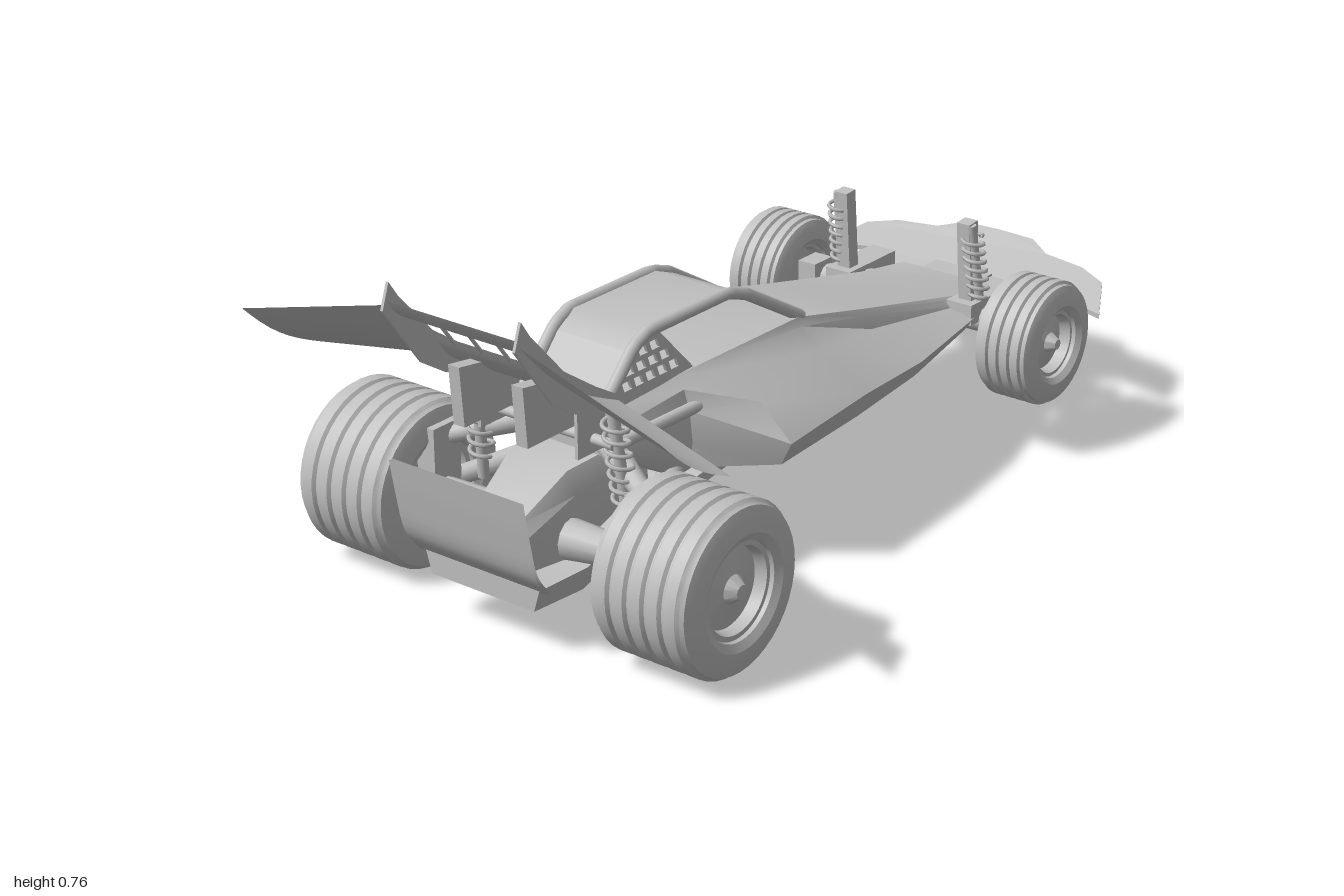
import * as THREE from 'three';
import { toCreasedNormals } from 'three/addons/utils/BufferGeometryUtils.js';

const bodyGrey = new THREE.MeshStandardMaterial({ color: 0xc0c0c0, side: THREE.DoubleSide });
const V = (p) => new THREE.Vector3(...p);

export function createModel() {
  const root = new THREE.Group();

  const add = (name, geo, parent = root) => {
    const m = new THREE.Mesh(geo, bodyGrey);
    m.name = name;
    parent.add(m);
    return m;
  };
  const box = (name, w, h, d, x, y, z) => {
    const m = add(name, new THREE.BoxGeometry(w, h, d));
    m.position.set(x, y, z);
    return m;
  };
  // straight round bar between two points
  const bar = (name, a, b, r, r2 = r) => {
    const d = V(b).sub(V(a));
    const m = add(name, new THREE.CylinderGeometry(r2, r, d.length(), 12));
    m.position.copy(V(a).addScaledVector(d, 0.5));
    m.quaternion.setFromUnitVectors(new THREE.Vector3(0, 1, 0), d.normalize());
    return m;
  };
  // bent bar through several points
  const bentBar = (name, pts, r) => {
    const path = new THREE.CurvePath();
    for (let i = 1; i < pts.length; i++) path.add(new THREE.LineCurve3(V(pts[i - 1]), V(pts[i])));
    return add(name, new THREE.TubeGeometry(path, 40, r, 8));
  };
  // plate standing in the z-y plane, centred on x
  const sidePlate = (name, pts, x, t, holes = []) => {
    const shape = new THREE.Shape(pts.map(p => new THREE.Vector2(...p)));
    holes.forEach(h => shape.holes.push(new THREE.Path(h.map(p => new THREE.Vector2(...p)))));
    const g = new THREE.ExtrudeGeometry(shape, { depth: t, bevelEnabled: false });
    g.translate(0, 0, -t / 2).rotateY(-Math.PI / 2).translate(x, 0, 0);
    return add(name, g);
  };
  // skin over mirrored half sections, each [z, [x, y], ...] from top to bottom
  const loft = (name, sections, crease = 0.5) => {
    const pos = [], idx = [];
    const n = (sections[0].length - 1) * 2;
    for (const [z, ...half] of sections) {
      half.forEach(([x, y]) => pos.push(x, y, z));
      [...half].reverse().forEach(([x, y]) => pos.push(-x, y, z));
    }
    for (let i = 0; i < sections.length - 1; i++) for (let j = 0; j < n; j++) {
      const a = i * n + j, b = i * n + (j + 1) % n;
      idx.push(a, a + n, b, b, a + n, b + n);
    }
    const last = (sections.length - 1) * n;
    for (let j = 1; j < n - 1; j++) idx.push(0, j, j + 1, last, last + j + 1, last + j);
    const g = new THREE.BufferGeometry();
    g.setAttribute('position', new THREE.Float32BufferAttribute(pos, 3));
    g.setIndex(idx);
    return add(name, toCreasedNormals(g, crease));
  };
  // curved sheet: fn(u, v) gives a point
  const sheet = (name, fn, nu = 8, nv = 8) => {
    const g = new THREE.PlaneGeometry(1, 1, nu, nv);
    const p = g.attributes.position;
    for (let i = 0; i < p.count; i++) p.setXYZ(i, ...fn(p.getX(i) + 0.5, p.getY(i) + 0.5));
    g.computeVertexNormals();
    return add(name, g);
  };

  // main hull with flared side pods
  loft('hull', [
    [-0.77, [0.125, 0.285], [0.135, 0.28], [0.137, 0.27], [0.138, 0.265], [0.135, 0.25], [0.12, 0.245]],
    [-0.60, [0.13, 0.31], [0.14, 0.3], [0.15, 0.29], [0.205, 0.28], [0.195, 0.262], [0.12, 0.243]],
    [-0.25, [0.13, 0.39], [0.138, 0.375], [0.15, 0.345], [0.288, 0.3], [0.27, 0.262], [0.13, 0.24]],
    [0, [0.13, 0.45], [0.14, 0.43], [0.195, 0.39], [0.315, 0.315], [0.29, 0.255], [0.14, 0.24]],
    [0.3, [0.125, 0.45], [0.15, 0.43], [0.255, 0.385], [0.337, 0.31], [0.31, 0.255], [0.15, 0.24]],
    [0.42, [0.115, 0.445], [0.145, 0.425], [0.16, 0.38], [0.167, 0.31], [0.16, 0.25], [0.15, 0.22]],
    [0.63, [0.1, 0.437], [0.14, 0.41], [0.16, 0.385], [0.165, 0.36], [0.16, 0.345], [0.15, 0.335]]
  ]);

  // undertray dropping to the rear, gearbox and curved rear bumper
  loft('undertray', [
    [0.33, [0.2, 0.265], [0.2, 0.24]],
    [0.55, [0.18, 0.22], [0.17, 0.18]],
    [0.75, [0.155, 0.145], [0.14, 0.09]],
    [0.9, [0.155, 0.15], [0.14, 0.1]]
  ]);
  loft('gearbox', [
    [0.5, [0.09, 0.34], [0.11, 0.3], [0.11, 0.17]],
    [0.72, [0.08, 0.33], [0.1, 0.28], [0.1, 0.13]],
    [0.86, [0.06, 0.25], [0.08, 0.22], [0.08, 0.13]]
  ]);
  const bumper = new THREE.CatmullRomCurve3(
    [[0, 0.375, 0.972], [0, 0.29, 0.957], [0, 0.2, 0.935], [0, 0.145, 0.895]].map(V));
  for (const off of [0, 0.008]) sheet('rearBumper', (u, v) => {
    const p = bumper.getPoint(v);
    return [(u - 0.5) * 0.356, p.y, p.z - off];
  }, 1, 12);

  // cockpit roof
  const roofLine = [[0.545, 0.54], [0.49, 0.573], [0.22, 0.573], [0.155, 0.548]];
  sheet('roof', (u, v) => {
    const [z, y] = roofLine[Math.round(v * 3)];
    return [(u - 0.5) * 0.21, y, z];
  }, 1, 3);
  sheet('rearWindow', (u, v) => [(u - 0.5) * (0.21 - v * 0.01), 0.54 - 0.1 * v, 0.545 + 0.085 * v], 1, 1);

  // front bumper wing, shaped from above and raked up towards the tip
  const nose = [[0, -1], [0.1, -1], [0.16, -0.965], [0.27, -0.955], [0.345, -0.925], [0.4, -0.825],
    [0.33, -0.835], [0.26, -0.845], [0.19, -0.81], [0.145, -0.765], [0, -0.765]];
  const noseShape = new THREE.Shape();
  nose.forEach(([x, z], i) => i ? noseShape.lineTo(x, z) : noseShape.moveTo(x, z));
  nose.slice(1, -1).reverse().forEach(([x, z]) => noseShape.lineTo(-x, z));
  const ng = new THREE.ExtrudeGeometry(noseShape, { depth: 0.012, bevelEnabled: false });
  const np = ng.attributes.position;
  for (let i = 0; i < np.count; i++) {
    const x = np.getX(i), z = np.getY(i), h = np.getZ(i);
    np.setXYZ(i, x, 0.245 + (-0.75 - z) * 0.34 - 0.03 * Math.abs(x) - h, z);
  }
  ng.computeVertexNormals();
  add('frontWing', ng);
  box('noseMount', 0.16, 0.03, 0.12, 0, 0.262, -0.79);

  // rear wing centre: main plane, slot posts and upper slat
  sheet('wingMainPlane', (u, v) => {
    const s = Math.sin(v * Math.PI) * 0.025;
    return [(u - 0.5) * 0.35, 0.5 + 0.11 * v - s, 0.67 + 0.17 * v + s * 0.6];
  }, 2, 10);
  sheet('wingSlat', (u, v) => {
    const s = Math.sin(v * Math.PI) * 0.01;
    return [(u - 0.5) * 0.35, 0.65 + 0.07 * v - s, 0.865 + 0.1 * v + s];
  }, 2, 6);
  for (const x of [-0.112, -0.038, 0.038, 0.112]) bar('slotPost', [x, 0.6, 0.835], [x, 0.66, 0.88], 0.004);

  // lathed wheel with ribbed tread and recessed rim
  const wheel = (name, side, xIn, xOut, y, z, R, rim, ribs) => {
    const g = new THREE.Group();
    g.name = name;
    const w = xOut - xIn, h = w / 2, e = R * 0.14;
    const prof = [[rim, -h + 0.03], [rim * 1.03, -h + 0.01], [rim * 1.2, -h], [R - e * 1.2, -h + 0.004], [R - e * 0.4, -h + 0.012]];
    const tw = w - 0.04;
    for (let i = 0; i < ribs; i++) for (const [f, d] of [[0.04, 0.007], [0.18, 0], [0.82, 0], [0.96, 0.007]])
      prof.push([R - d, -tw / 2 + tw * (i + f) / ribs]);
    prof.push([R - e * 0.4, h - 0.012], [R - e * 1.2, h - 0.004], [rim * 1.2, h], [rim * 1.03, h - 0.01], [rim, h - 0.03]);
    const lathe = (p, n) => add(n, toCreasedNormals(
      new THREE.LatheGeometry(p.map(q => new THREE.Vector2(...q)), 40).rotateZ(-Math.PI / 2), 0.6), g);
    lathe(prof, 'tyre');
    lathe([[0, -h + 0.05], [rim * 0.85, -h + 0.05], [rim * 0.9, -h + 0.02], [rim * 1.06, -h + 0.02],
      [rim, 0], [rim * 1.06, h - 0.02], [rim * 0.9, h - 0.018], [rim * 0.85, h - 0.045],
      [rim * 0.3, h - 0.03], [rim * 0.15, h - 0.008], [0, h - 0.006]], 'rim');
    g.position.set(side * (xIn + xOut) / 2, y, z);
    if (side < 0) g.rotation.y = Math.PI;
    root.add(g);
  };
  // coil-over damper between two points
  const damper = (name, a, b, r) => {
    bar(name, a, b, r * 0.5);
    const A = V(a), B = V(b), pts = [];
    for (let i = 0; i <= 84; i++) {
      const t = i / 84 * Math.PI * 14;
      pts.push(A.clone().lerp(B, 0.2 + 0.7 * i / 84).add(new THREE.Vector3(Math.cos(t) * r, 0, Math.sin(t) * r)));
    }
    add(name + 'Spring', new THREE.TubeGeometry(new THREE.CatmullRomCurve3(pts), 140, 0.005, 5));
  };

  // slits of the mesh guard beside the cockpit
  const holes = [];
  for (const [y, z0, n] of [[0.465, 0.40, 5], [0.497, 0.43, 4], [0.529, 0.462, 2]])
    for (let i = 0; i < n; i++) {
      const z = z0 + i * 0.038;
      holes.push([[z, y], [z + 0.026, y], [z + 0.034, y + 0.021], [z + 0.01, y + 0.021]]);
    }

  for (const s of [1, -1]) {
    wheel('rearWheel', s, 0.275, 0.535, 0.19, 0.715, 0.19, 0.105, 5);
    wheel('frontWheel', s, 0.28, 0.435, 0.262, -0.6, 0.147, 0.078, 4);

    // cage bars and mesh guard
    bentBar('cageBar', [[s * 0.12, 0.445, -0.02], [s * 0.108, 0.55, 0.16], [s * 0.106, 0.57, 0.22],
      [s * 0.106, 0.57, 0.49], [s * 0.106, 0.55, 0.535], [s * 0.106, 0.435, 0.645]], 0.014);
    bar('lowerCageBar', [s * 0.163, 0.385, 0.38], [s * 0.163, 0.39, 0.66], 0.014);
    bar('rearCageBar', [s * 0.16, 0.39, 0.645], [s * 0.1, 0.44, 0.645], 0.014);
    sidePlate('meshGuard', [[0.35, 0.445], [0.47, 0.57], [0.525, 0.555], [0.635, 0.435]], s * 0.112, 0.008, holes);

    // outer rear wing, end plate and mounts
    sheet('wingOuterPanel', (u, v) => {
      const sag = Math.sin(v * Math.PI) * 0.022 * (1 - 0.4 * u);
      const z = (0.67 + 0.115 * u) * (1 - v) + (0.965 + 0.032 * u) * v;
      const y = (0.497 - 0.02 * u) * (1 - v) + (0.71 - 0.09 * u) * v;
      return [s * (0.175 + 0.38 * u), y - sag, z + sag * 0.6];
    });
    sidePlate('wingEndPlate', [[0.655, 0.5], [0.74, 0.55], [0.835, 0.615], [0.93, 0.72], [0.955, 0.757],
      [0.975, 0.7], [0.87, 0.555], [0.8, 0.51], [0.67, 0.488]], s * 0.175, 0.007);
    sidePlate('wingMount', [[0.72, 0.435], [0.86, 0.435], [0.87, 0.57], [0.8, 0.56], [0.68, 0.5]], s * 0.085, 0.03);
    sidePlate('wingStay', [[0.64, 0.38], [0.75, 0.38], [0.75, 0.5], [0.68, 0.5]], s * 0.132, 0.008);

    // rear suspension
    bar('rearLowerArm', [s * 0.1, 0.19, 0.74], [s * 0.32, 0.19, 0.715], 0.045, 0.025);
    bar('rearTrailingArm', [s * 0.13, 0.25, 0.45], [s * 0.3, 0.19, 0.7], 0.03, 0.02);
    bar('rearUpperArm', [s * 0.1, 0.37, 0.62], [s * 0.29, 0.3, 0.7], 0.03, 0.02);
    box('rearUpright', 0.05, 0.18, 0.08, s * 0.285, 0.25, 0.715);
    damper('rearDamper', [s * 0.2, 0.22, 0.67], [s * 0.185, 0.5, 0.7], 0.026);

    // front suspension
    box('frontTower', 0.035, 0.22, 0.035, s * 0.175, 0.4, -0.6).rotation.x = 0.08;
    damper('frontDamper', [s * 0.2, 0.28, -0.62], [s * 0.19, 0.505, -0.585], 0.024);
    box('frontTowerBase', 0.07, 0.05, 0.19, s * 0.175, 0.29, -0.66);
    bar('frontArm', [s * 0.12, 0.265, -0.64], [s * 0.31, 0.262, -0.62], 0.04, 0.028);
    box('frontKnuckle', 0.05, 0.09, 0.07, s * 0.275, 0.262, -0.61);
  }
  // cross bars behind the cockpit
  bar('rearCrossBar', [-0.1, 0.44, 0.645], [0.1, 0.44, 0.645], 0.014);
  bar('towerBrace', [-0.19, 0.41, 0.7], [0.19, 0.41, 0.7], 0.012);
  return root;
}
